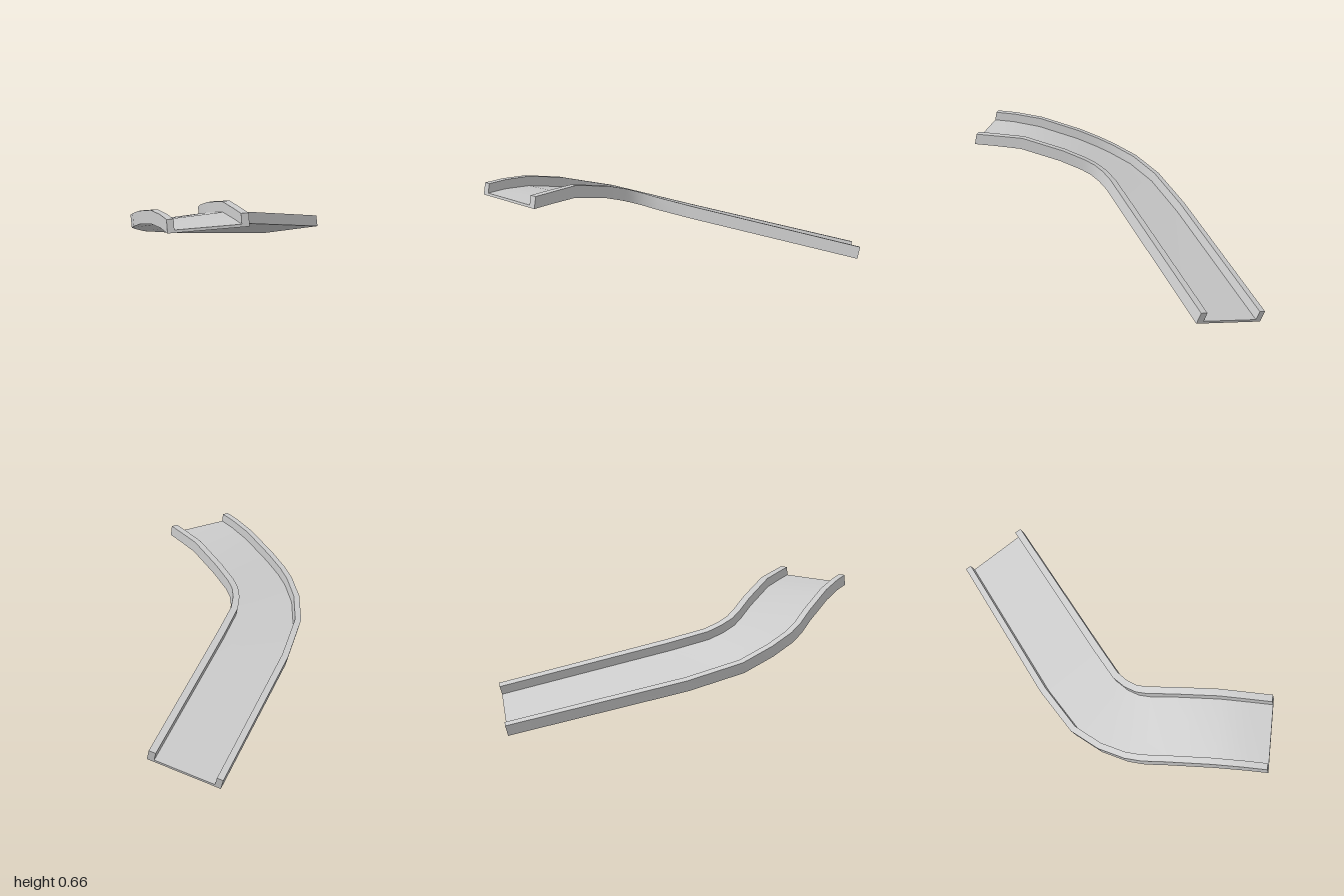
import * as THREE from 'three';
import { toCreasedNormals } from 'three/addons/utils/BufferGeometryUtils.js';

// Stations along the chute: bottom of the outer wall, bottom of the inner wall,
// and the rise (y) and lean (z) of the walls.
const stations = [
  { outer: [-0.77, 0.59, 1.0], inner: [-0.325, 0.59, 1.0], up: [0.07, -0.015] },
  { outer: [-0.77, 0.588, 0.87], inner: [-0.325, 0.59, 0.87], up: [0.07, -0.015] },
  { outer: [-0.77, 0.567, 0.69], inner: [-0.325, 0.586, 0.69], up: [0.073, -0.015] },
  { outer: [-0.77, 0.505, 0.43], inner: [-0.325, 0.527, 0.43], up: [0.071, -0.022] },
  { outer: [-0.77, 0.462, 0.3], inner: [-0.325, 0.48, 0.29], up: [0.07, -0.025] },
  { outer: [-0.757, 0.43, 0.2], inner: [-0.315, 0.455, 0.225], up: [0.07, -0.025] },
  { outer: [-0.705, 0.382, 0.04], inner: [-0.285, 0.43, 0.165], up: [0.07, -0.025] },
  { outer: [-0.6, 0.315, -0.135], inner: [-0.23, 0.4, 0.1], up: [0.07, -0.025] },
  { outer: [-0.352, 0.23, -0.357], inner: [-0.055, 0.345, -0.033], up: [0.07, -0.025] },
  { outer: [0.49, 0.005, -0.975], inner: [0.77, 0.11, -0.65], up: [0.07, -0.025] },
];

// U-shaped section: fraction across the chute, fraction of the wall height
const section = [[0, 0], [1, 0], [1, 1], [0.905, 1], [0.905, 0.21], [0.085, 0.21], [0.085, 1], [0, 1]];
// The section split into floor and two walls, for the end faces
const capQuads = [[0, 1, 4, 5], [1, 2, 3, 4], [0, 5, 6, 7]];

function chuteGeometry() {
  const n = section.length;
  const positions = [];
  const index = [];
  for (const { outer, inner, up } of stations) {
    const a = new THREE.Vector3(...outer);
    const b = new THREE.Vector3(...inner);
    const rise = new THREE.Vector3(0, ...up);
    for (const [u, v] of section) {
      const p = a.clone().lerp(b, u).addScaledVector(rise, v);
      positions.push(p.x, p.y, p.z);
    }
  }
  // Long faces between neighbouring sections
  for (let i = 0; i < stations.length - 1; i++) {
    for (let j = 0; j < n; j++) {
      const a = i * n + j;
      const b = i * n + (j + 1) % n;
      index.push(a, a + n, b, b, a + n, b + n);
    }
  }
  // Upper and lower end faces
  const last = (stations.length - 1) * n;
  for (const [a, b, c, d] of capQuads) {
    index.push(a, b, c, a, c, d);
    index.push(last + a, last + c, last + b, last + a, last + d, last + c);
  }
  const geometry = new THREE.BufferGeometry();
  geometry.setAttribute('position', new THREE.Float32BufferAttribute(positions, 3));
  geometry.setIndex(index);
  return toCreasedNormals(geometry, THREE.MathUtils.degToRad(35));
}

export function createModel() {
  const group = new THREE.Group();
  group.name = 'curvedSlide';
  const chute = new THREE.Mesh(chuteGeometry(), new THREE.MeshStandardMaterial({ color: 0xcccccc }));
  chute.name = 'chute';
  group.add(chute);
  return group;
}
